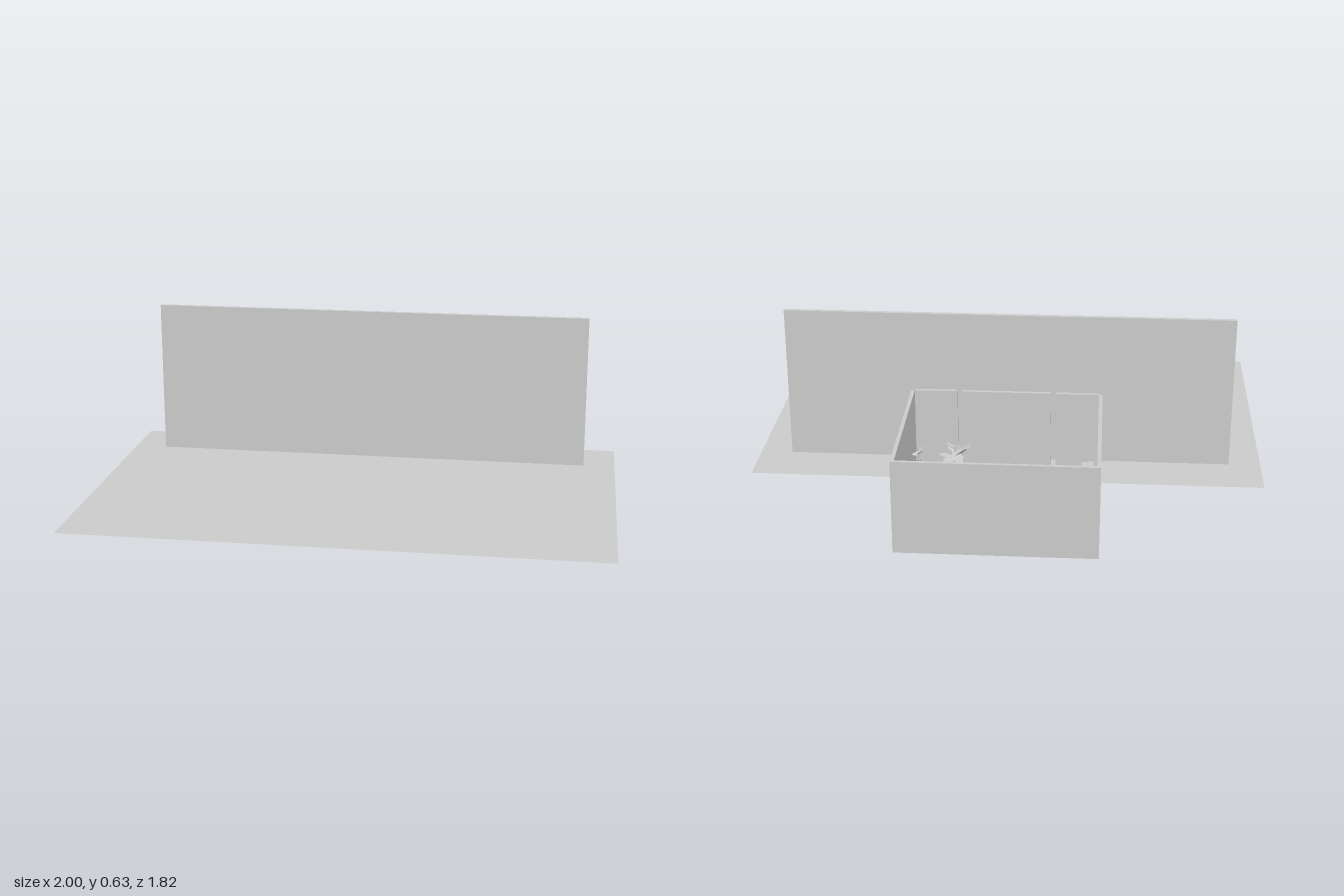
import * as THREE from 'three';

export function createModel() {
  const model = new THREE.Group();
  const grey = new THREE.MeshStandardMaterial({ color: 0xcccccc });
  grey.name = 'plain grey';
  const leafGrey = grey.clone(); // same grey, visible from both sides
  leafGrey.name = 'plain grey sheet';
  leafGrey.side = THREE.DoubleSide;

  const add = (parent, name, geometry, material = grey) => {
    const mesh = new THREE.Mesh(geometry, material);
    mesh.name = name;
    parent.add(mesh);
    return mesh;
  };
  // Box given by its limits on each axis
  const box = (parent, name, x0, x1, y0, y1, z0, z1) => {
    const mesh = add(parent, name, new THREE.BoxGeometry(x1 - x0, y1 - y0, z1 - z0));
    mesh.position.set((x0 + x1) / 2, (y0 + y1) / 2, (z0 + z1) / 2);
    return mesh;
  };
  const group = (name, x, y, z, turn = 0) => {
    const g = new THREE.Group();
    g.name = name;
    g.position.set(x, y, z);
    g.rotation.y = turn;
    model.add(g);
    return g;
  };

  // Ground sheet and tall free-standing wall
  const ground = add(model, 'ground', new THREE.PlaneGeometry(2, 1.25).rotateX(-Math.PI / 2), leafGrey);
  ground.position.set(0, 0.018, 0.285);
  box(model, 'tallWall', -0.875, 0.875, 0, 0.63, -0.147, -0.13);

  // Open-topped room
  const low = 0.015, high = 0.375, floor = 0.021;
  box(model, 'roomFloor', -0.369, 0.364, low, floor, -0.914, -0.29);
  box(model, 'backWall', -0.369, 0.364, low, high, -0.914, -0.901);
  box(model, 'rightWall', -0.369, -0.355, low, high, -0.901, -0.303);
  box(model, 'leftWall', 0.35, 0.364, low, high, -0.901, -0.303);
  for (const [a, b] of [[-0.355, -0.192], [-0.172, 0.168], [0.186, 0.35]])
    box(model, 'frontPanel', a, b, low, high, -0.302, -0.288);

  // Upholstered seat facing local +z
  const seat = (name, w, d, h, arm, x, z, turn) => {
    const g = group(name, x, floor, z, turn);
    box(g, 'base', -w / 2 + arm, w / 2 - arm, h * 0.1, h * 0.35, -d / 2, d / 2);
    box(g, 'cushion', -w / 2 + arm * 1.2, w / 2 - arm * 1.2, h * 0.35, h * 0.5, -d / 2 + arm, d / 2 - 0.004);
    box(g, 'backrest', -w / 2, w / 2, h * 0.1, h, -d / 2, -d / 2 + arm);
    for (const s of [-1, 1]) {
      const x0 = s * (w / 2 - arm / 2);
      box(g, 'armrest', x0 - arm / 2, x0 + arm / 2, 0, h * 0.7, -d / 2 + arm, d / 2);
    }
  };
  seat('sofa', 0.25, 0.1, 0.1, 0.02, 0, -0.842, 0);
  seat('armchair', 0.125, 0.1, 0.1, 0.018, -0.18, -0.71, Math.PI / 2);
  seat('smallChair', 0.088, 0.064, 0.1, 0.012, 0.176, -0.675, -1.78);

  // Coffee table with a bowl
  const table = group('coffeeTable', 0, floor, -0.708);
  box(table, 'tableTop', -0.031, 0.031, 0.045, 0.052, -0.057, 0.057);
  for (const x of [-0.026, 0.026])
    for (const z of [-0.052, 0.052])
      box(table, 'tableLeg', x - 0.004, x + 0.004, 0, 0.045, z - 0.004, z + 0.004);
  add(table, 'bowl', new THREE.CylinderGeometry(0.009, 0.005, 0.012, 10)).position.set(0.01, 0.058, -0.025);

  // Low cabinet with chamfered ends against the right wall
  const plan = new THREE.Shape([[-0.343, 0.597], [-0.343, 0.36], [-0.295, 0.368], [-0.295, 0.587]]
    .map(([x, y]) => new THREE.Vector2(x, y)));
  const cabinet = add(model, 'cabinet',
    new THREE.ExtrudeGeometry(plan, { depth: 0.1, bevelEnabled: false }).rotateX(-Math.PI / 2));
  cabinet.position.y = floor;
  box(model, 'cornerStand', -0.2, -0.172, floor, 0.12, -0.875, -0.84);

  // Pointed, drooping leaf reaching out along +x
  const leafShape = new THREE.Shape();
  leafShape.moveTo(0, -0.15);
  leafShape.lineTo(0.55, -0.3);
  leafShape.lineTo(1, -0.12);
  leafShape.lineTo(1, 0.12);
  leafShape.lineTo(0.55, 0.3);
  leafShape.lineTo(0, 0.15);
  const leaves = (parent, count, length, height) => {
    for (let i = 0; i < count; i++) {
      const leaf = add(parent, 'leaf', new THREE.ShapeGeometry(leafShape).rotateX(-Math.PI / 2), leafGrey);
      leaf.scale.setScalar(length * (0.8 + 0.2 * Math.sin(i * 2.3)));
      leaf.rotation.set(0, i * 2.4, 0.25 + 0.5 * Math.sin(i * 1.7));
      leaf.position.y = height * (0.72 + 0.28 * i / count);
    }
  };

  // Potted plant
  const plant = group('pottedPlant', 0.185, floor, -0.415);
  add(plant, 'pot', new THREE.CylinderGeometry(0.026, 0.018, 0.05, 12)).position.y = 0.025;
  add(plant, 'stem', new THREE.CylinderGeometry(0.004, 0.005, 0.13, 6)).position.y = 0.11;
  leaves(plant, 11, 0.08, 0.175);

  // Side stand with a vase of twigs
  const stand = group('sideStand', 0.314, floor, -0.5);
  box(stand, 'standBody', -0.022, 0.022, 0, 0.115, -0.042, 0.042);
  const vase = new THREE.Group();
  vase.name = 'vase';
  vase.position.set(0, 0.115, -0.025);
  stand.add(vase);
  add(vase, 'vaseBody', new THREE.LatheGeometry(
    [[0, 0], [0.009, 0], [0.014, 0.02], [0.007, 0.045], [0.01, 0.055]].map(p => new THREE.Vector2(...p)), 12), leafGrey);
  leaves(vase, 5, 0.03, 0.1);
  add(vase, 'twig', new THREE.CylinderGeometry(0.002, 0.002, 0.1, 5)).position.y = 0.06;
  box(stand, 'standBox', -0.012, 0.012, 0.115, 0.135, 0, 0.03);

  return model;
}
